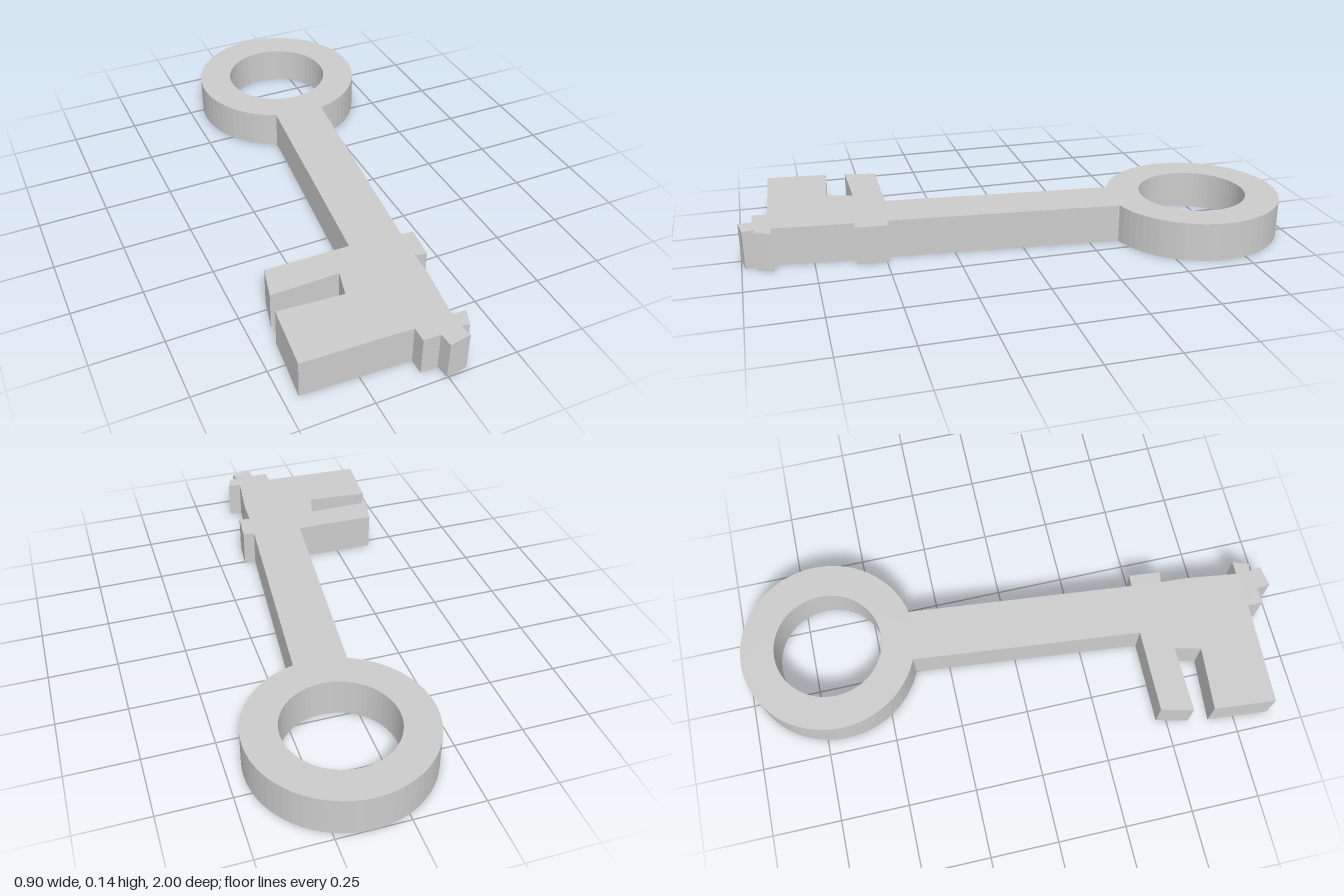
import * as THREE from 'three';

const HEIGHT = 0.142;
const material = new THREE.MeshStandardMaterial({ color: 0xcccccc, flatShading: true });

// Extrudes a plan shape drawn in (x, z) from the ground up to the key's thickness
function slab(name, shape) {
  const geometry = new THREE.ExtrudeGeometry(shape, { depth: HEIGHT, bevelEnabled: false, curveSegments: 32 });
  geometry.rotateX(Math.PI / 2).translate(0, HEIGHT, 0);
  const mesh = new THREE.Mesh(geometry, material);
  mesh.name = name;
  return mesh;
}

const outline = (points) => new THREE.Shape(points.map(([x, z]) => new THREE.Vector2(x, z)));

export function createModel() {
  const key = new THREE.Group();
  key.name = 'key';

  // Round handle with a hole
  const ring = new THREE.Shape().absarc(0.124, -0.676, 0.324, 0, Math.PI * 2);
  ring.holes.push(new THREE.Path().absarc(0.124, -0.676, 0.2, 0, Math.PI * 2, true));
  key.add(slab('handleRing', ring));

  // Slanted shaft, its upper end tucked against the ring
  key.add(slab('shaft', outline([
    [0, -0.387], [0.05, -0.365], [0.124, -0.355], [0.19, -0.37],
    [0.105, 0.487], [0.095, 0.6], [0.09, 0.7], [0.065, 0.89], [-0.07, 0.895], [-0.085, 0.468],
  ])));

  // Notched bit with two teeth
  key.add(slab('bit', outline([
    [-0.085, 0.468], [-0.39, 0.463], [-0.418, 0.58], [-0.173, 0.577],
    [-0.197, 0.672], [-0.43, 0.654], [-0.45, 0.88], [-0.07, 0.895],
  ])));

  // Small collar on the side opposite the bit
  key.add(slab('collar', outline([
    [0.105, 0.487], [0.148, 0.49], [0.136, 0.608], [0.095, 0.6],
  ])));

  // Stepped tip
  key.add(slab('tip', outline([
    [-0.07, 0.895], [0.065, 0.89], [0.115, 0.89], [0.093, 0.95], [0.065, 0.942],
    [0.072, 0.987], [-0.005, 1], [-0.01, 0.95], [-0.07, 0.95],
  ])));

  return key;
}
